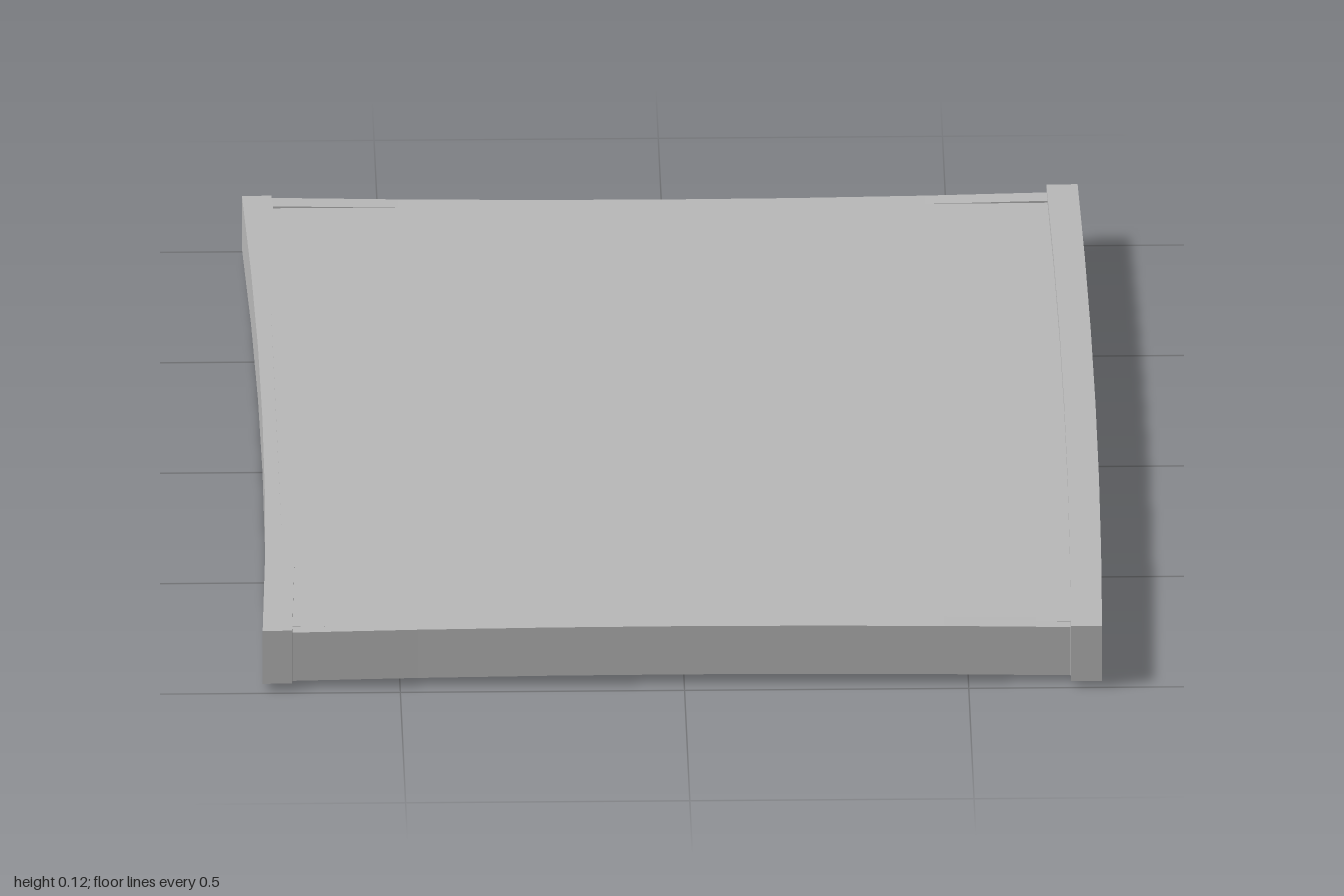
import * as THREE from 'three';

// Bar along z, bent by a gentle bow: full offset in the middle, none at the ends
function bowedBar(width, height, length, bowSide, bowUp) {
  const geometry = new THREE.BoxGeometry(width, height, length, 1, 1, 6);
  const p = geometry.attributes.position;
  for (let i = 0; i < p.count; i++) {
    const t = p.getZ(i) / (length / 2);
    const s = 1 - t * t;
    p.setX(i, p.getX(i) + bowSide * s);
    p.setY(i, p.getY(i) + bowUp * s);
  }
  geometry.computeVertexNormals();
  return geometry;
}

export function createModel() {
  const group = new THREE.Group();
  const grey = new THREE.MeshStandardMaterial({ color: 0xb8b8b8, flatShading: true });
  grey.name = 'plain grey';

  function add(name, geometry, x, y, z, turn = 0) {
    const mesh = new THREE.Mesh(geometry, grey);
    mesh.name = name;
    mesh.position.set(x, y, z);
    mesh.rotation.y = turn;
    group.add(mesh);
    return mesh;
  }

  // Long side rails, slightly warped
  add('leftRail', bowedBar(0.055, 0.105, 2, 0.01, 0.002), 0.704, 0.065, 0, 0.003);
  add('rightRail', bowedBar(0.052, 0.101, 1.97, 0.018, -0.012), -0.716, 0.0625, 0);

  // Short end rails between the side rails
  add('frontRail', bowedBar(0.044, 0.092, 1.39, 0.003, 0.006), -0.005, 0.058, 0.951, Math.PI / 2);
  add('backRail', bowedBar(0.038, 0.094, 1.39, -0.004, -0.007), -0.005, 0.062, -0.966, Math.PI / 2);

  // Inset panel, near flush on top and recessed underneath
  add('panel', new THREE.BoxGeometry(1.4, 0.052, 1.91), 0, 0.079, -0.008);

  return group;
}
